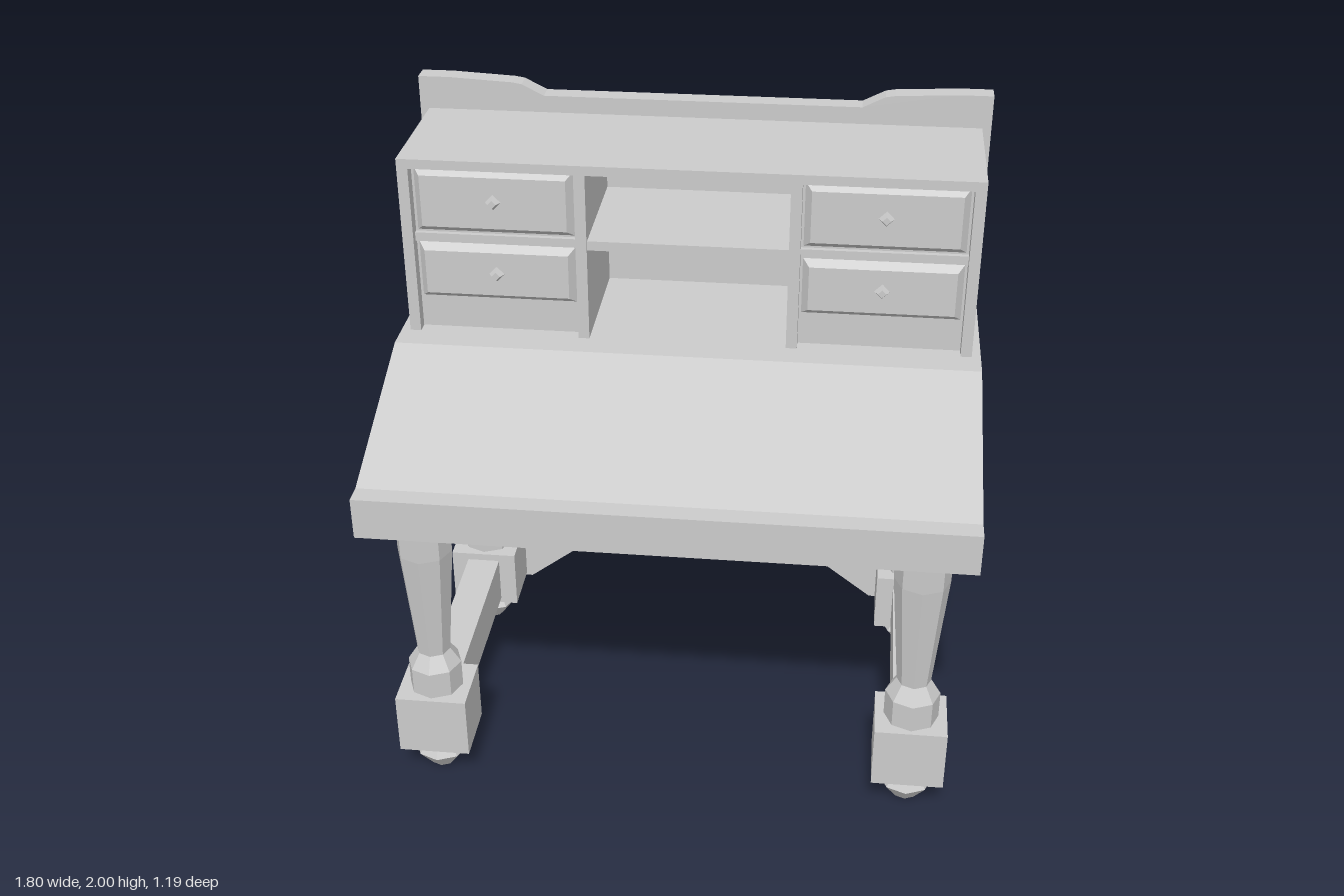
import * as THREE from 'three';

const material = new THREE.MeshStandardMaterial({ color: 0xcccccc, flatShading: true });

function add(parent, name, geometry, x = 0, y = 0, z = 0) {
  const mesh = new THREE.Mesh(geometry, material);
  mesh.name = name;
  mesh.position.set(x, y, z);
  parent.add(mesh);
  return mesh;
}

// Box given by its minimum and maximum on each axis
function addBox(parent, name, [x0, x1], [y0, y1], [z0, z1]) {
  const geometry = new THREE.BoxGeometry(x1 - x0, y1 - y0, z1 - z0);
  return add(parent, name, geometry, (x0 + x1) / 2, (y0 + y1) / 2, (z0 + z1) / 2);
}

function extrude(points, depth) {
  const shape = new THREE.Shape(points.map(([x, y]) => new THREE.Vector2(x, y)));
  return new THREE.ExtrudeGeometry(shape, { depth, bevelEnabled: false });
}

// Side profile in (z, y), extruded along x from x0 to x1
function addSideProfile(parent, name, points, x0, x1) {
  const geometry = extrude(points.map(([z, y]) => [-z, y]), x1 - x0);
  geometry.rotateY(Math.PI / 2);
  return add(parent, name, geometry, x0, 0, 0);
}

// Drawer front: a box whose front face is drawn in to make a bevel
function raisedPanel(width, height, depth, inset) {
  const geometry = new THREE.BoxGeometry(width, height, depth);
  const p = geometry.attributes.position;
  for (let i = 0; i < p.count; i++) {
    if (p.getZ(i) > 0) {
      p.setX(i, p.getX(i) - Math.sign(p.getX(i)) * inset);
      p.setY(i, p.getY(i) - Math.sign(p.getY(i)) * inset);
    }
  }
  geometry.computeVertexNormals();
  return geometry;
}

function lathe(points) {
  return new THREE.LatheGeometry(points.map(([r, y]) => new THREE.Vector2(r, y)), 8);
}

function createLeg(x, z) {
  const leg = new THREE.Group();
  leg.name = 'leg';
  leg.position.set(x, 0, z);
  add(leg, 'foot', lathe([[0, 0], [0.04, 0], [0.085, 0.06], [0.055, 0.115]]));
  addBox(leg, 'legBlock', [-0.112, 0.112], [0.11, 0.315], [-0.1, 0.1]);
  add(leg, 'turnedShaft', lathe([
    [0.085, 0.31], [0.085, 0.405], [0.053, 0.455], [0.085, 0.83], [0.085, 0.98], [0.108, 1.0],
  ]));
  return leg;
}

export function createModel() {
  const desk = new THREE.Group();
  desk.name = 'writingDesk';

  // Shaped back board
  const half = [[0.43, 0.245], [0.62, 0.1], [0.9, 0.1], [0.9, 2], [0.8, 2], [0.6, 1.99], [0.57, 1.985], [0.5, 1.95]];
  const outline = [...half, ...half.map(([x, y]) => [-x, y]).reverse()];
  add(desk, 'backBoard', extrude(outline, 0.063), 0, 0, -0.593);

  // Desk body with sloping lid
  addSideProfile(desk, 'deskBody', [
    [0.593, 0.997], [0.593, 1.127], [0.53, 1.127], [0, 1.328], [-0.53, 1.328], [-0.53, 0.997],
  ], -0.9, 0.9);

  // Legs and side stretchers
  for (const x of [-0.753, 0.753]) {
    desk.add(createLeg(x, 0.386), createLeg(x, -0.436));
    addBox(desk, 'stretcher', [x - 0.055, x + 0.055], [0.13, 0.29], [-0.35, 0.3]);
  }

  // Upper cabinet
  const cabinet = new THREE.Group();
  cabinet.name = 'upperCabinet';
  desk.add(cabinet);
  const depth = [-0.53, -0.09];
  addBox(cabinet, 'cabinetTop', [-0.872, 0.872], [1.866, 1.896], depth);

  for (const s of [-1, 1]) {
    const span = (a, b) => (s > 0 ? [a, b] : [-b, -a]);
    addBox(cabinet, 'cabinetSide', span(0.838, 0.872), [1.328, 1.866], depth);
    addBox(cabinet, 'divider', span(0.305, 0.339), [1.328, 1.866], depth);
    addBox(cabinet, 'drawerCase', span(0.339, 0.838), [1.328, 1.866], [-0.53, -0.13]);
    addBox(cabinet, 'drawerRail', span(0.339, 0.838), [1.622, 1.65], [-0.14, -0.115]);

    // Two drawers, each with a diamond knob
    for (const [low, high, knobY] of [[1.652, 1.864, 1.763], [1.43, 1.62, 1.527]]) {
      add(cabinet, 'drawerFront', raisedPanel(0.492, high - low, 0.03, 0.024),
        s * 0.5885, (low + high) / 2, -0.12);
      const knob = new THREE.CylinderGeometry(0.013, 0.025, 0.022, 4).rotateX(Math.PI / 2);
      add(cabinet, 'drawerKnob', knob, s * 0.5885, knobY, -0.096);
    }
  }

  // Middle shelf, thicker towards the back
  addSideProfile(cabinet, 'middleShelf', [
    [-0.1, 1.622], [-0.1, 1.652], [-0.53, 1.652], [-0.53, 1.567],
  ], -0.306, 0.306);

  return desk;
}
